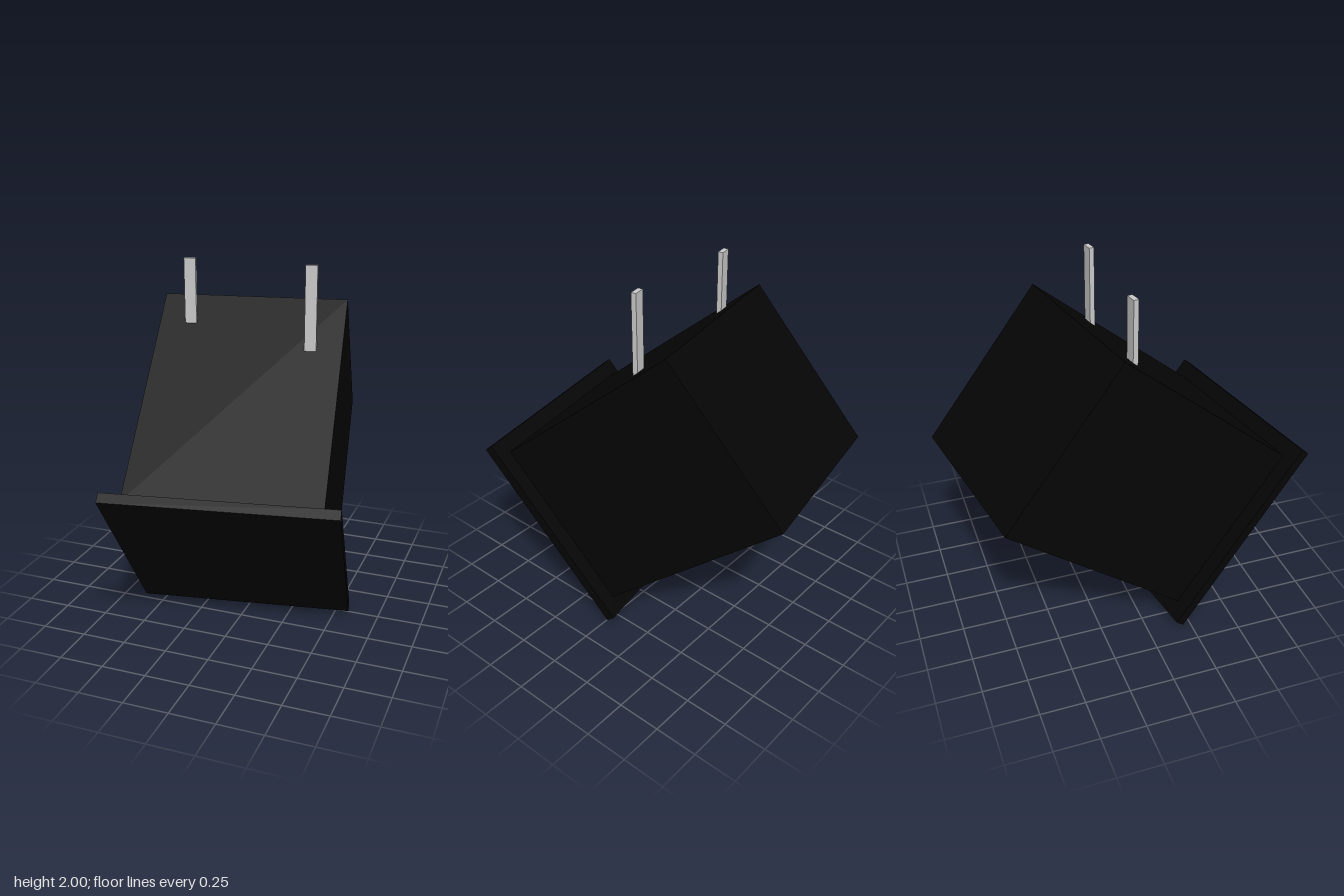
import * as THREE from 'three';

const rad = THREE.MathUtils.degToRad;

export function createModel() {
  const model = new THREE.Group();
  const black = new THREE.MeshStandardMaterial({ color: 0x050505 });
  const grey = new THREE.MeshStandardMaterial({ color: 0xcccccc });

  function box(name, parent, size, position, material) {
    const mesh = new THREE.Mesh(new THREE.BoxGeometry(...size), material);
    mesh.name = name;
    mesh.position.set(...position);
    parent.add(mesh);
    return mesh;
  }

  const yaw = rad(10), tilt = rad(40);
  const length = 1.4, rim = 0.057;

  // Lamp head: origin at the centre of the front face, tipped down and turned
  const head = new THREE.Group();
  head.name = 'head';
  head.rotation.set(tilt, yaw, 0, 'YXZ');
  head.position.set(0.041, 0.47, 0.488);
  model.add(head);

  // Square front plate, wider than the housing behind it
  box('frontPlate', head, [1.22, 1.22, rim], [0, 0, -rim / 2], black);
  box('housing', head, [1.04, 1.04, length - rim], [0, 0, -(length + rim) / 2], black);

  // Two upright flat hanger bars, sunk into the sloping top of the housing
  const barBottom = 1.4, barTop = 2;
  for (const [name, x] of [['leftHanger', 0.3], ['rightHanger', -0.4]]) {
    const bar = box(name, model, [0.065, barTop - barBottom, 0.029],
      [x, (barTop + barBottom) / 2, -0.04], grey);
    bar.rotation.y = yaw;
  }

  return model;
}
